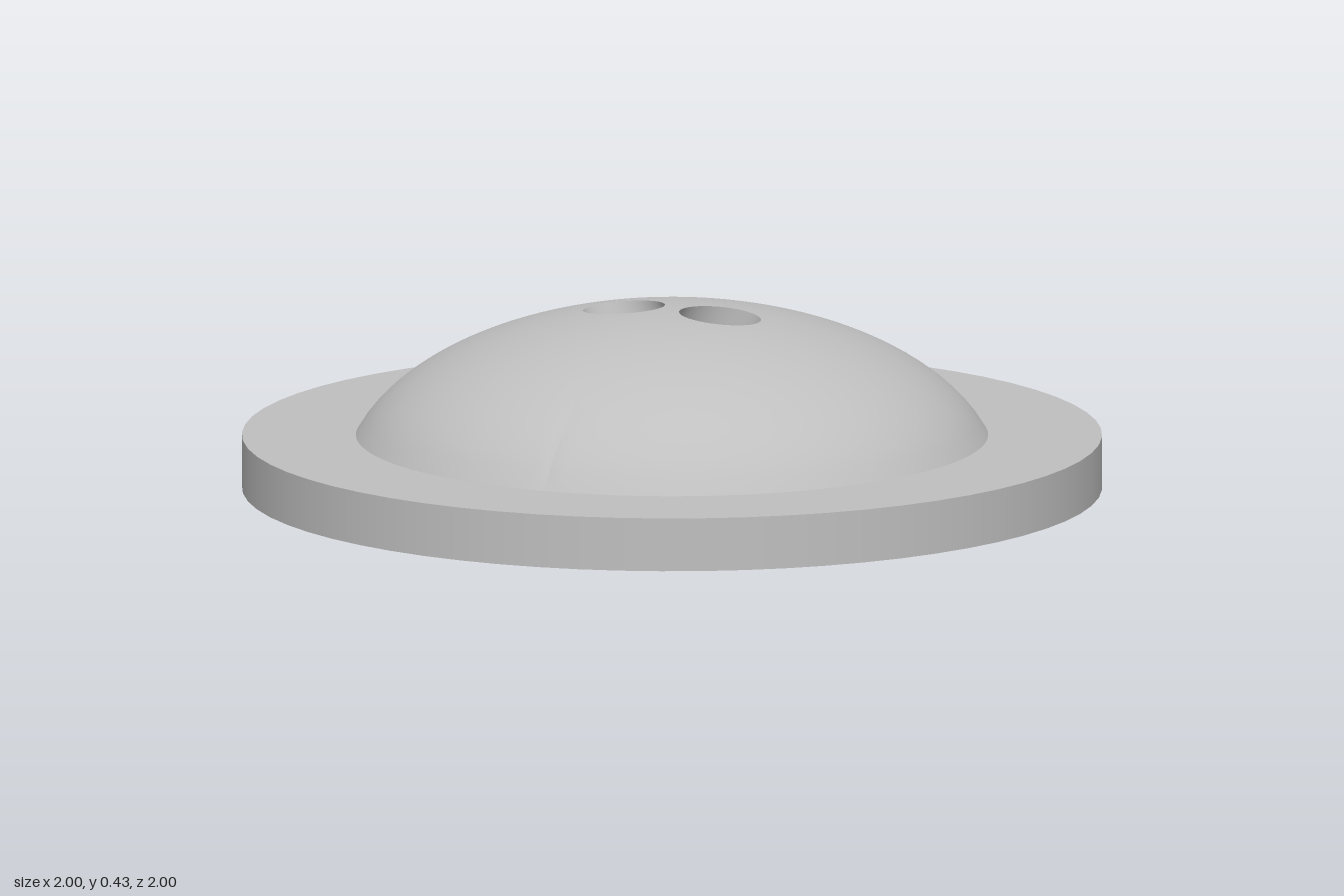
import * as THREE from 'three';
import { mergeGeometries, mergeVertices } from 'three/addons/utils/BufferGeometryUtils.js';

const BASE_Y = 0.125;                 // top of the disc
const TOP_Y = 0.425;                  // top of the dome
const RIM = 0.735;                    // dome radius where it meets the disc
const DOME_A = RIM / Math.sqrt(1 - (BASE_Y / TOP_Y) ** 2);
const HOLE_X = 0.122, HOLE_RX = 0.0965, HOLE_RZ = 0.088;
const HOLE_LEAN = 0.48;               // holes slant inward as they go down

const domeY = (x, z) => TOP_Y * Math.sqrt(1 - (x * x + z * z) / DOME_A ** 2);

// Surface through rows of points, flipped when the winding must be reversed
function grid(rows, flip) {
  const cols = rows[0].length, index = [];
  for (let i = 0; i < rows.length - 1; i++) {
    for (let j = 0; j < cols - 1; j++) {
      const a = i * cols + j, b = a + cols, c = a + 1, d = b + 1;
      if (flip) index.push(a, c, b, b, c, d);
      else index.push(a, b, c, b, d, c);
    }
  }
  const g = new THREE.BufferGeometry();
  g.setAttribute('position', new THREE.Float32BufferAttribute(rows.flat(2), 3));
  g.setIndex(index);
  return g;
}

function smooth(geometry) {
  const g = mergeVertices(geometry, 1e-5);
  g.computeVertexNormals();
  return g;
}

// Outline of half the dome in plan: round rim, then the straight middle line
function halfOutline() {
  const pts = [], arc = 64, line = 40;
  for (let i = 0; i < arc; i++) {
    const t = -Math.PI / 2 + Math.PI * i / arc;
    pts.push([RIM * Math.cos(t), RIM * Math.sin(t)]);
  }
  for (let i = 0; i <= line; i++) {
    const u = 1 - 2 * i / line;
    pts.push([0, RIM * u * Math.abs(u)]);
  }
  return pts;
}

// Point on the hole's edge
function holeEdge(angle) {
  return [HOLE_X + HOLE_RX * Math.cos(angle), HOLE_RZ * Math.sin(angle)];
}

// Half of the dome, running from the hole's edge to the outline
function domeHalf(side) {
  const steps = 24;
  const rows = halfOutline().map(([ox, oz]) => {
    const [hx, hz] = holeEdge(Math.atan2(oz / HOLE_RZ, (ox - HOLE_X) / HOLE_RX));
    const row = [];
    for (let j = 0; j <= steps; j++) {
      const x = THREE.MathUtils.lerp(hx, ox, j / steps);
      const z = THREE.MathUtils.lerp(hz, oz, j / steps);
      row.push([side * x, domeY(x, z), z]);
    }
    return row;
  });
  return grid(rows, side < 0);
}

// Slanted wall of a hole, ending at the disc or where the two holes meet
function holeWall(side) {
  const rows = [], n = 64;
  for (let i = 0; i <= n; i++) {
    const [x, z] = holeEdge(2 * Math.PI * i / n);
    const y = domeY(x, z);
    const depth = Math.min(y - BASE_Y, x / HOLE_LEAN);
    rows.push([[side * x, y, z], [side * (x - depth * HOLE_LEAN), y - depth, z]]);
  }
  return smooth(grid(rows, side > 0));
}

export function createModel() {
  const group = new THREE.Group();
  const grey = new THREE.MeshStandardMaterial({ color: 0xbfbfbf });
  grey.name = 'grey';

  const add = (name, geometry) => {
    const mesh = new THREE.Mesh(geometry, grey);
    mesh.name = name;
    group.add(mesh);
    return mesh;
  };

  // Flat round base
  add('baseDisc', new THREE.CylinderGeometry(1, 1, BASE_Y, 64)).position.y = BASE_Y / 2;

  // Dome with two openings
  add('dome', smooth(mergeGeometries([domeHalf(1), domeHalf(-1)])));

  // Inside of the two slanted holes
  add('leftHole', holeWall(1));
  add('rightHole', holeWall(-1));

  return group;
}
